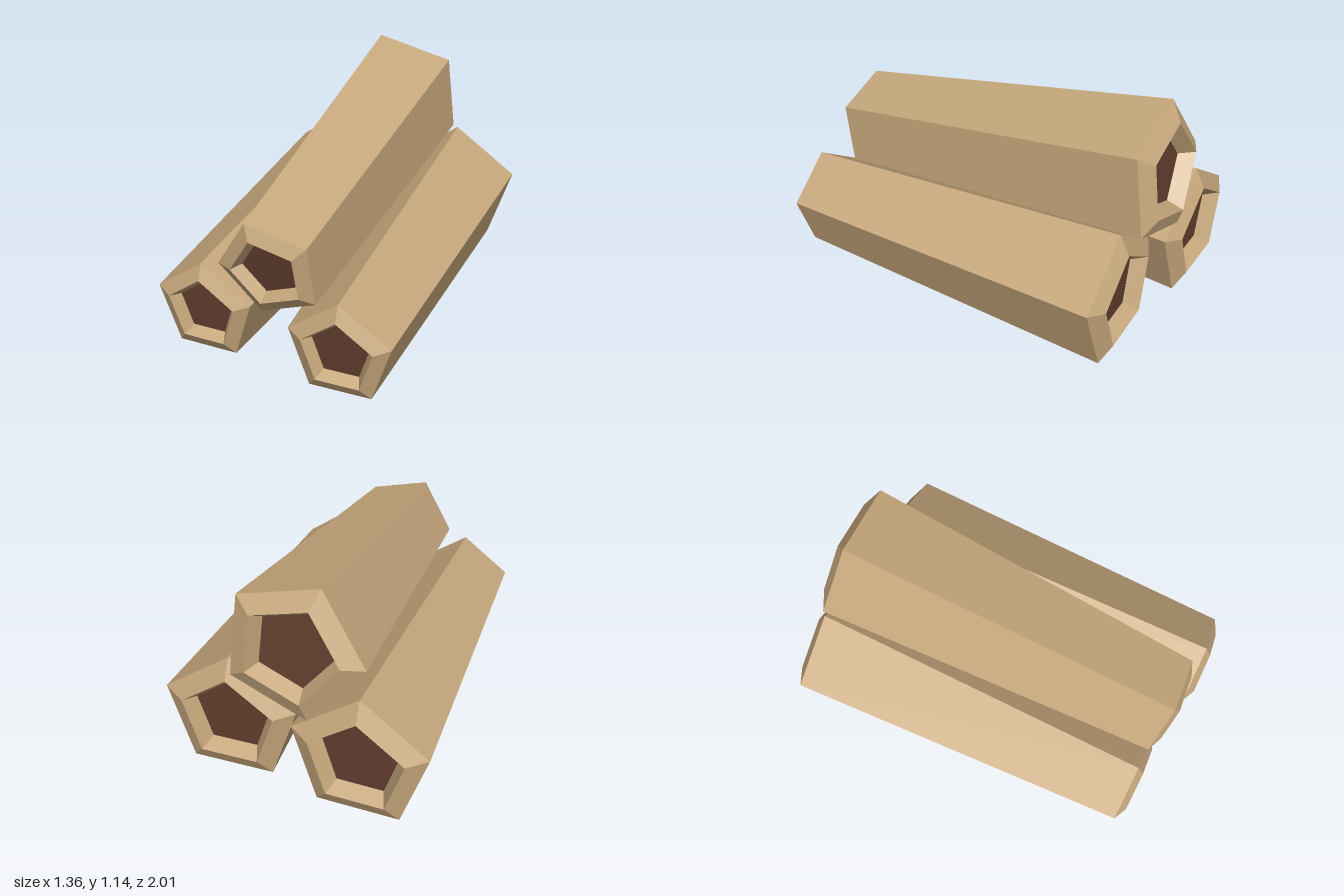
import * as THREE from 'three';

const SIDES = 5;
const FRONT_R = 0.266, BACK_R = 0.357;   // log tapers towards the front
const HOLE = 0.7, FLOOR = 0.565;         // rim and recess radii, relative to the log radius
const BEVEL = 0.14, RECESS = 0.08;       // rim height and floor depth, relative to the log radius

const bark = new THREE.MeshStandardMaterial({ color: 0xc6a77c, flatShading: true });
const core = new THREE.MeshStandardMaterial({ color: 0x603d2d, flatShading: true });

// One pentagonal log whose axis runs from the back ring centre to the front ring centre
function makeLog(name, frontCentre, backCentre, roll) {
  const front = new THREE.Vector3(...frontCentre);
  const back = new THREE.Vector3(...backCentre);
  const half = front.distanceTo(back) / 2;
  const log = new THREE.Group();
  log.name = name;

  // Profile of one end, from the sunken floor over the rim to the outer ring
  const endProfile = (r, dir) => [
    new THREE.Vector2(r * FLOOR, dir * (half - r * RECESS)),
    new THREE.Vector2(r * HOLE, dir * (half + r * BEVEL)),
    new THREE.Vector2(r, dir * half),
  ];
  const profile = [...endProfile(BACK_R, -1), ...endProfile(FRONT_R, 1).reverse()];
  const bodyGeometry = new THREE.LatheGeometry(profile, SIDES, Math.PI);
  bodyGeometry.rotateX(Math.PI / 2);
  const body = new THREE.Mesh(bodyGeometry, bark);
  body.name = name + 'Bark';
  log.add(body);

  // Dark recessed floors
  for (const [end, r, dir] of [['Front', FRONT_R, 1], ['Back', BACK_R, -1]]) {
    const floor = new THREE.Mesh(new THREE.CircleGeometry(r * FLOOR, SIDES, Math.PI / 2), core);
    floor.name = name + end + 'Core';
    floor.position.z = dir * (half - r * RECESS);
    if (dir < 0) floor.rotation.y = Math.PI;
    log.add(floor);
  }

  log.position.copy(front).add(back).multiplyScalar(0.5);
  log.lookAt(front);
  log.rotateZ(roll);
  return log;
}

export function createModel() {
  const model = new THREE.Group();
  model.name = 'logPile';
  model.add(
    makeLog('leftLog', [0.325, 0.221, 0.96], [0.34, 0.292, -0.84], 0),
    makeLog('rightLog', [-0.42, 0.221, 0.855], [-0.345, 0.292, -0.945], 0),
    makeLog('topLog', [-0.053, 0.533, 0.885], [-0.01, 0.815, -0.89], 0.374),
  );
  return model;
}
